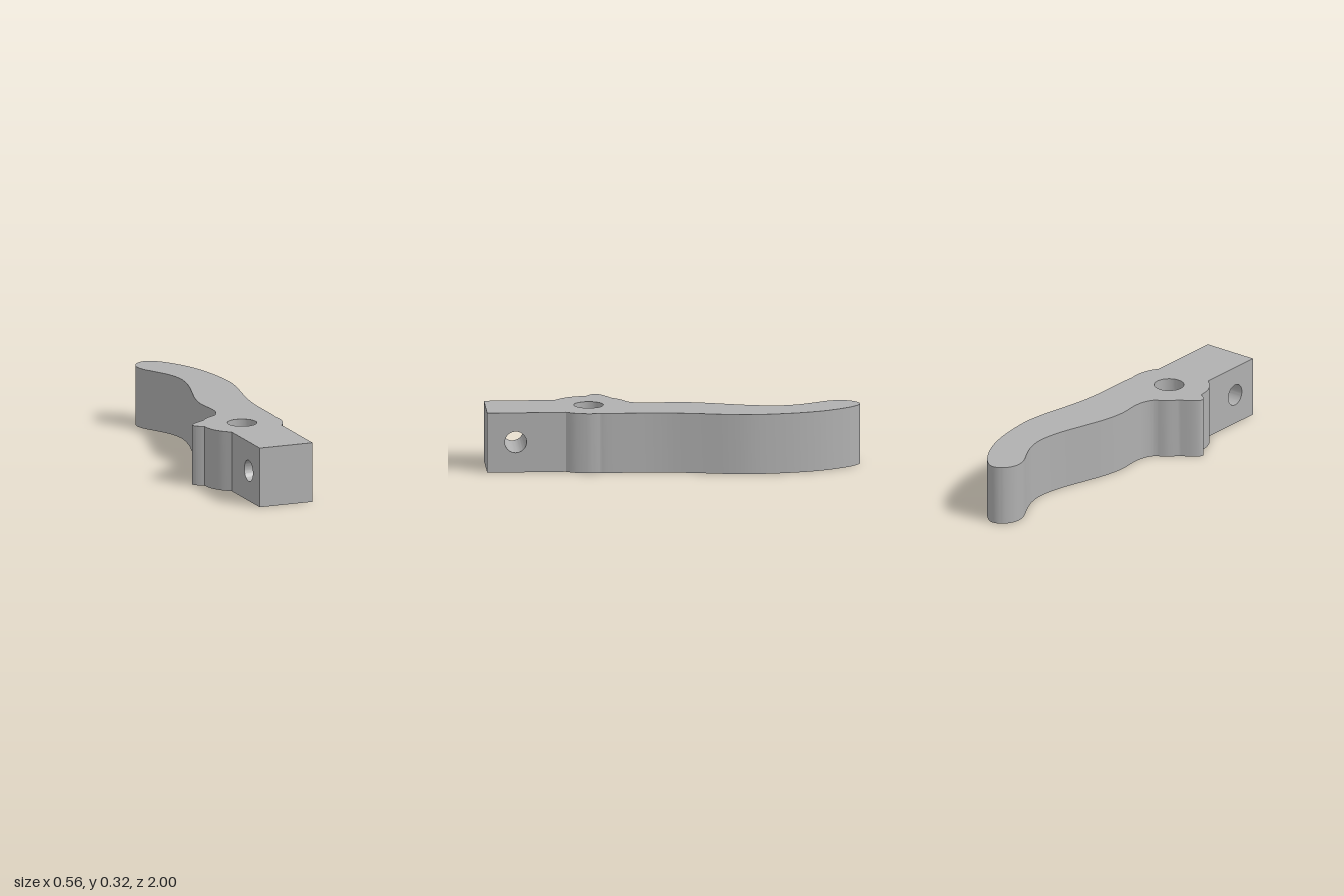
import * as THREE from 'three';
import { toCreasedNormals } from 'three/addons/utils/BufferGeometryUtils.js';

const HEIGHT = 0.325;
const JOIN = 0.62; // z where the lever meets the square tail

// Plan outline as [x, z] curves; corners fall between consecutive curves
const OUTLINE = [
  // pivot boss, right side
  [[0.161, 0.58], [0.188, 0.535], [0.203, 0.48], [0.206, 0.44], [0.2, 0.395]],
  // long handle, around the rounded tip and back to the boss
  [[0.2, 0.395], [0.204, 0.35], [0.204, 0.2], [0.206, 0.1], [0.215, 0], [0.24, -0.15], [0.265, -0.28],
    [0.277, -0.4], [0.269, -0.53], [0.246, -0.67], [0.205, -0.8], [0.145, -0.91], [0.09, -0.975],
    [0.04, -1], [-0.01, -0.983], [-0.043, -0.94], [-0.054, -0.89], [-0.04, -0.83], [0, -0.755],
    [0.04, -0.67], [0.059, -0.58], [0.056, -0.5], [0.035, -0.39], [0, -0.27], [-0.035, -0.15],
    [-0.053, -0.05], [-0.055, 0.02], [-0.047, 0.1], [-0.051, 0.17], [-0.072, 0.222], [-0.095, 0.245]],
  // shoulder
  [[-0.095, 0.245], [-0.14, 0.272], [-0.185, 0.32]],
  // catch nose
  [[-0.185, 0.32], [-0.245, 0.355], [-0.276, 0.385], [-0.278, 0.41], [-0.257, 0.432], [-0.232, 0.448]],
  // pivot boss, left side
  [[-0.232, 0.448], [-0.223, 0.51], [-0.193, 0.57], [-0.145, JOIN]],
];

function circle(x, y, r) {
  return new THREE.Path().absarc(x, y, r, 0, Math.PI * 2, true);
}

function extrude(shape, depth) {
  return new THREE.ExtrudeGeometry(shape, { depth, bevelEnabled: false, curveSegments: 24 });
}

export function createModel() {
  const group = new THREE.Group();
  const grey = new THREE.MeshStandardMaterial({ color: 0xb0b0b0 });
  grey.name = 'plain grey';

  const add = (name, geometry) => {
    const mesh = new THREE.Mesh(toCreasedNormals(geometry, 0.45), grey);
    mesh.name = name;
    group.add(mesh);
  };

  // Curved lever with the vertical pivot hole
  const points = [new THREE.Vector2(0.161, -JOIN)];
  for (const run of OUTLINE) {
    const curve = new THREE.SplineCurve(run.map(([x, z]) => new THREE.Vector2(x, -z)));
    const sampled = curve.getPoints((run.length - 1) * 5);
    points.push(...(run === OUTLINE[0] ? sampled : sampled.slice(1)));
  }
  const lever = new THREE.Shape(points);
  lever.holes.push(circle(-0.014, -0.448, 0.079));
  add('lever', extrude(lever, HEIGHT).rotateX(-Math.PI / 2));

  // Square tail with the cross hole
  const tail = new THREE.Shape([[-1, 0], [-JOIN, 0], [-JOIN, HEIGHT], [-1, HEIGHT]]
    .map(([x, y]) => new THREE.Vector2(x, y)));
  tail.holes.push(circle(-0.848, 0.165, 0.058));
  add('tailBlock', extrude(tail, 0.306).rotateY(Math.PI / 2).translate(-0.145, 0, 0));

  return group;
}
